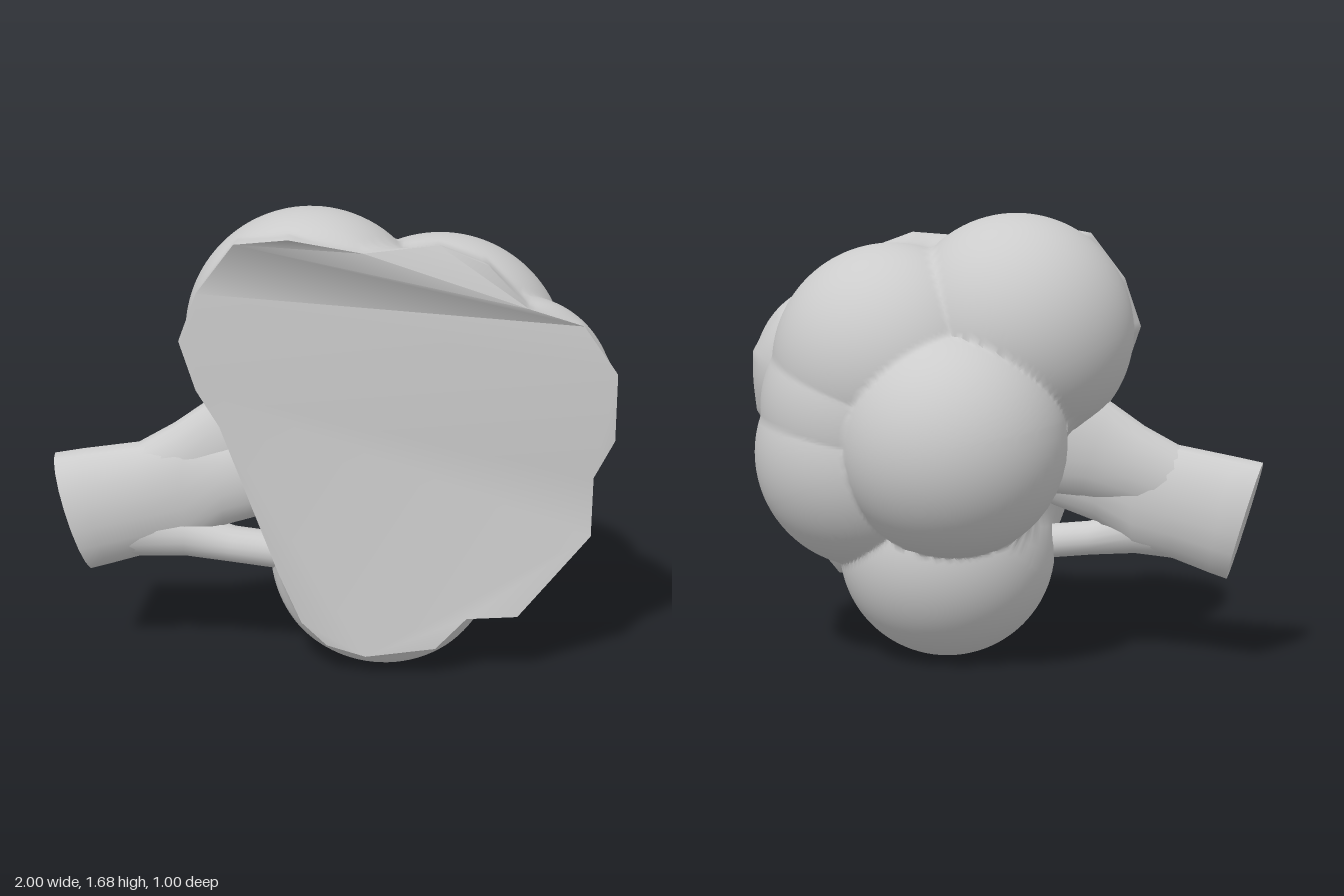
import * as THREE from 'three';
import { toCreasedNormals } from 'three/addons/utils/BufferGeometryUtils.js';

const material = new THREE.MeshStandardMaterial({ color: 0xcccccc, side: THREE.DoubleSide });

// Centre of the flat cut face; the head is shaped outward from here
const CENTRE = new THREE.Vector3(0.2, 0.85, 0.42);

// Round lobes of the head: x, y, z, radius
const LOBES = [
  [-0.07, 1.24, 0.22, 0.44], // top
  [0.38, 1.12, 0.11, 0.45], // upper left
  [0.65, 1.07, 0.34, 0.34], // side
  [0.1, 0.85, -0.08, 0.42], // back
  [0.19, 0.41, 0.19, 0.41], // bottom
  [0.47, 0.78, 0.11, 0.435], // lower left
  [0.44, 0.95, 0.11, 0.44], // filling between the left lobes
  [0.15, 0.85, 0.3, 0.42], // core
].map(([x, y, z, r]) => ({ c: new THREE.Vector3(x, y, z), r }));

// Rim of the cut face, clockwise from the top
const RIM = [
  [-0.31, 1.6, 0.45], [-0.12, 1.63, 0.5], [0.13, 1.58, 0.46], [0.38, 1.6, 0.4],
  [0.55, 1.54, 0.43], [0.69, 1.4, 0.46], [0.88, 1.32, 0.37], [1, 1.15, 0.37],
  [1, 0.91, 0.365], [0.93, 0.78, 0.385], [0.93, 0.55, 0.35], [0.68, 0.25, 0.39],
  [0.5, 0.24, 0.4], [0.39, 0.12, 0.4], [0.14, 0.08, 0.4], [0, 0.12, 0.4],
  [-0.09, 0.21, 0.41], [-0.17, 0.4, 0.42], [-0.37, 0.95, 0.44], [-0.45, 1.08, 0.44],
  [-0.51, 1.25, 0.42], [-0.44, 1.43, 0.46],
].map((p) => new THREE.Vector3(...p));

function buildGeometry(points, index, crease) {
  const g = new THREE.BufferGeometry().setFromPoints(points);
  g.setIndex(index);
  return toCreasedNormals(g, crease);
}

// Joins rows of equal length into closed rings of quads
function skin(rows, columns) {
  const index = [];
  for (let k = 0; k < rows - 1; k++) {
    for (let i = 0; i < columns; i++) {
      const j = (i + 1) % columns;
      const a = k * columns + i, b = k * columns + j;
      index.push(a, b, a + columns, b, b + columns, a + columns);
    }
  }
  return index;
}

// Farthest distance from the centre to the union of the lobes
function reach(dir) {
  let far = 0.2;
  for (const { c, r } of LOBES) {
    const oc = CENTRE.clone().sub(c);
    const b = dir.dot(oc);
    const disc = b * b - oc.lengthSq() + r * r;
    if (disc > 0) far = Math.max(far, -b + Math.sqrt(disc));
  }
  return far;
}

// Rim points with each edge subdivided
function rimPoints(steps) {
  return RIM.flatMap((p, i) => Array.from({ length: steps }, (_, s) =>
    p.clone().lerp(RIM[(i + 1) % RIM.length], s / steps)));
}

function headGeometry() {
  const { lerp, smoothstep } = THREE.MathUtils;
  const rim = rimPoints(10), rows = 80, points = [];
  for (let k = 0; k <= rows; k++) {
    for (const p of rim) {
      const v = p.clone().sub(CENTRE);
      const azimuth = Math.atan2(v.y, v.x);
      const start = Math.atan2(-v.z, Math.hypot(v.x, v.y));
      const e = start + (Math.PI / 2 - start) * (k / rows);
      const dir = new THREE.Vector3(
        Math.cos(e) * Math.cos(azimuth), Math.cos(e) * Math.sin(azimuth), -Math.sin(e));
      // Swell quickly from the rim where lobes bulge, shrink slowly where they recede
      const edge = v.length(), lobe = reach(dir);
      const t = lerp(edge, lobe, smoothstep(k, 0, lobe > edge ? 6 : 24));
      points.push(dir.multiplyScalar(t).add(CENTRE));
    }
  }
  return buildGeometry(points, skin(rows + 1, rim.length), 1);
}

// Sheet spanning part of the rim
function faceGeometry(points) {
  const outline = [...points].reverse();
  const triangles = THREE.ShapeUtils.triangulateShape(
    outline.map((p) => new THREE.Vector2(p.x, p.y)), []);
  return buildGeometry(outline, triangles.flat(), 1.2);
}

// Oval sections swept along the stalk: x, y, z, half height, half depth, lean
function stalkGeometry(sections, sides = 18) {
  const points = [];
  for (const [x, y, z, h, w, lean] of sections) {
    for (let i = 0; i < sides; i++) {
      const a = (i / sides) * Math.PI * 2;
      const up = h * Math.cos(a);
      points.push(new THREE.Vector3(
        x - up * Math.sin(lean), y + up * Math.cos(lean), z + w * Math.sin(a)));
    }
  }
  const index = skin(sections.length, sides);
  // Flat cap on the outer end
  const c = points.length;
  points.push(new THREE.Vector3(...sections[0].slice(0, 3)));
  for (let i = 0; i < sides; i++) index.push(c, (i + 1) % sides, i);
  return buildGeometry(points, index, 0.8);
}

export function createModel() {
  const group = new THREE.Group();
  const add = (name, geometry) => {
    const mesh = new THREE.Mesh(geometry, material);
    mesh.name = name;
    group.add(mesh);
  };

  add('head', headGeometry());
  // The cut is one broad face with a second, slightly tilted one above it
  add('cutFace', faceGeometry(RIM.slice(6)));
  add('upperCutFace', faceGeometry([RIM[21], ...RIM.slice(0, 7)]));

  // Stalk, splitting into an upper and a lower branch
  add('stalk', stalkGeometry([
    [-0.935, 0.55, 0.24, 0.23, 0.125, 0.28],
    [-0.85, 0.57, 0.24, 0.225, 0.13, 0.2],
    [-0.68, 0.61, 0.25, 0.215, 0.12, 0.05],
    [-0.52, 0.645, 0.25, 0.22, 0.1, 0],
    [-0.38, 0.69, 0.26, 0.17, 0.09, 0],
    [-0.2, 0.74, 0.27, 0.16, 0.09, 0],
  ]));
  add('upperBranch', stalkGeometry([
    [-0.7, 0.66, 0.25, 0.15, 0.1, 0.1],
    [-0.52, 0.74, 0.23, 0.16, 0.1, 0.25],
    [-0.38, 0.8, 0.22, 0.19, 0.1, 0.3],
    [-0.1, 0.9, 0.2, 0.26, 0.12, 0.3],
  ]));
  add('lowerBranch', stalkGeometry([
    [-0.75, 0.52, 0.25, 0.13, 0.1, 0.05],
    [-0.52, 0.49, 0.27, 0.085, 0.08, -0.05],
    [-0.35, 0.455, 0.28, 0.065, 0.07, -0.1],
    [-0.05, 0.42, 0.28, 0.065, 0.07, -0.1],
  ]));
  return group;
}
